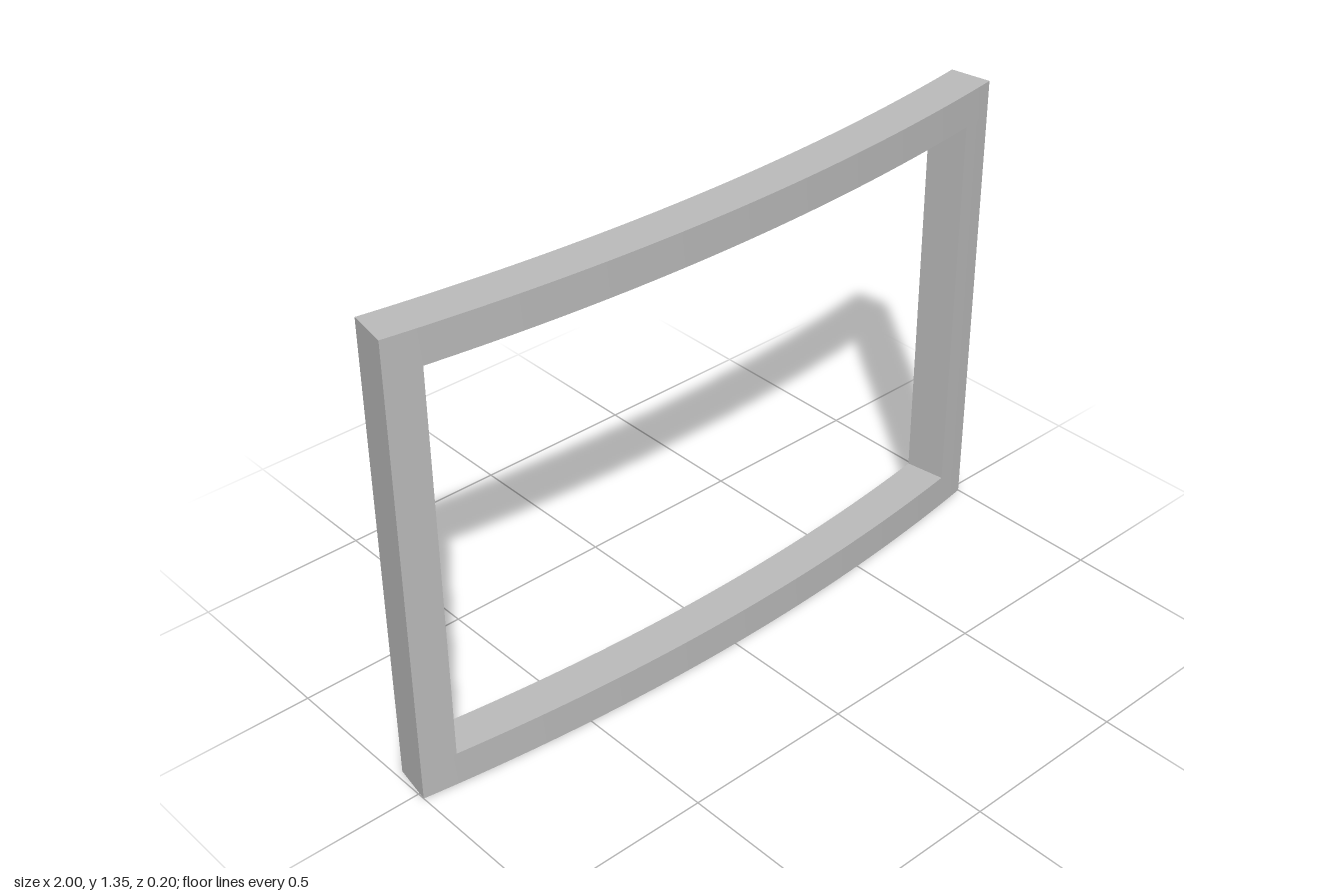
import * as THREE from 'three';
import { toCreasedNormals } from 'three/addons/utils/BufferGeometryUtils.js';

const RADIUS = 6.29;      // front face radius
const DEPTH = 0.12;       // front to back
const HEIGHT = 1.35;
const BORDER = 0.1;
const FRONT_Z = 0.102;    // front face at the middle
const END = Math.asin(1 / RADIUS);
const INNER = Math.asin(0.9 / RADIUS);

// Bar curved about a vertical axis, between two angles and two heights
function curvedBar(name, from, to, bottom, top, segments, material) {
  const cy = RADIUS - FRONT_Z;
  const a = from - Math.PI / 2;
  const b = to - Math.PI / 2;
  const shape = new THREE.Shape();
  shape.absarc(0, cy, RADIUS, a, b, false);
  shape.absarc(0, cy, RADIUS - DEPTH, b, a, true);
  shape.closePath();
  let geometry = new THREE.ExtrudeGeometry(shape, {
    depth: top - bottom, bevelEnabled: false, curveSegments: segments,
  });
  geometry.rotateX(-Math.PI / 2);
  geometry.translate(0, bottom, 0);
  geometry = toCreasedNormals(geometry, Math.PI / 6);
  const mesh = new THREE.Mesh(geometry, material);
  mesh.name = name;
  return mesh;
}

export function createModel() {
  const group = new THREE.Group();
  group.name = 'curvedFrame';
  const grey = new THREE.MeshStandardMaterial({ color: 0xbcbcbc });
  grey.name = 'frame grey';

  // Full-width rails
  group.add(curvedBar('bottomRail', -END, END, 0, BORDER, 40, grey));
  group.add(curvedBar('topRail', -END, END, HEIGHT - BORDER, HEIGHT, 40, grey));

  // Upright stiles between the rails
  group.add(curvedBar('leftStile', INNER, END, BORDER, HEIGHT - BORDER, 2, grey));
  group.add(curvedBar('rightStile', -END, -INNER, BORDER, HEIGHT - BORDER, 2, grey));

  return group;
}
